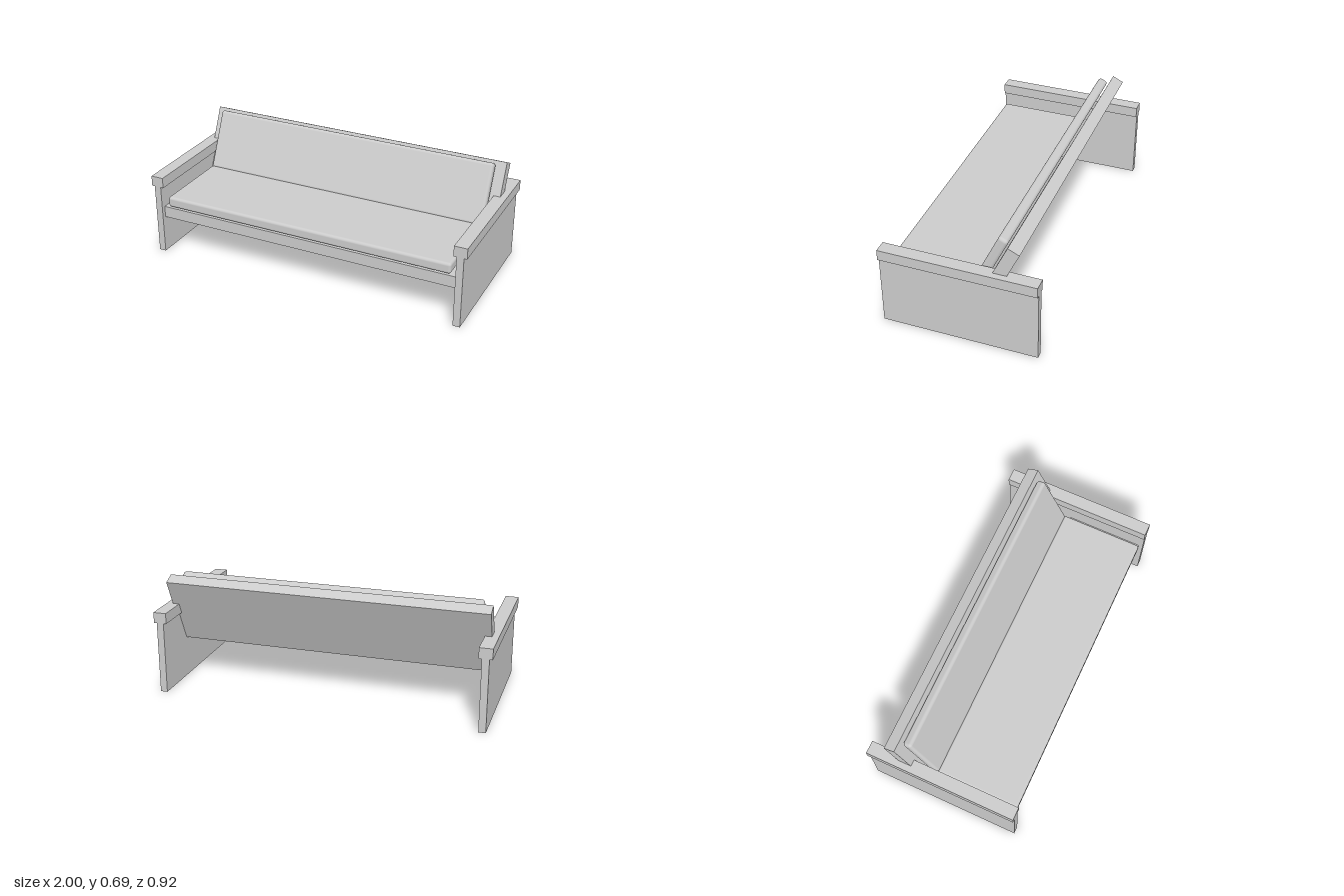
import * as THREE from 'three';
import { RoundedBoxGeometry } from 'three/addons/geometries/RoundedBoxGeometry.js';

const material = new THREE.MeshStandardMaterial({ color: 0xcccccc });

// Box given by its lower and upper limits; a radius rounds its edges
function block(parent, name, [x0, x1], [y0, y1], [z0, z1], radius = 0) {
  const size = [x1 - x0, y1 - y0, z1 - z0];
  const geometry = radius
    ? new RoundedBoxGeometry(...size, 5, radius)
    : new THREE.BoxGeometry(...size);
  const mesh = new THREE.Mesh(geometry, material);
  mesh.name = name;
  mesh.position.set((x0 + x1) / 2, (y0 + y1) / 2, (z0 + z1) / 2);
  parent.add(mesh);
  return mesh;
}

export function createModel() {
  const sofa = new THREE.Group();
  sofa.name = 'sofa';

  // Solid side panels with wider armrest caps
  for (const [side, s] of [['left', 1], ['right', -1]]) {
    const span = (a, b) => (s > 0 ? [a, b] : [-b, -a]);
    block(sofa, side + 'SidePanel', span(0.94, 0.982), [0, 0.436], [-0.458, 0.458]);
    block(sofa, side + 'Armrest', span(0.922, 1), [0.434, 0.498], [-0.458, 0.458]);
  }

  // Seat board and cushion
  block(sofa, 'seatBoard', [-0.942, 0.942], [0.225, 0.295], [-0.035, 0.432]);
  block(sofa, 'seatCushion', [-0.905, 0.905], [0.305, 0.37], [-0.065, 0.44], 0.016);

  // Backrest leaning back: local y runs up the slope, local z is its thickness
  const backrest = new THREE.Group();
  backrest.name = 'backrest';
  backrest.rotation.x = -THREE.MathUtils.degToRad(25);
  block(backrest, 'backBoard', [-0.962, 0.962], [0.287, 0.736], [-0.038, 0.035]);
  block(backrest, 'backCushion', [-0.905, 0.905], [0.35, 0.718], [0.046, 0.104], 0.018);
  sofa.add(backrest);

  return sofa;
}
